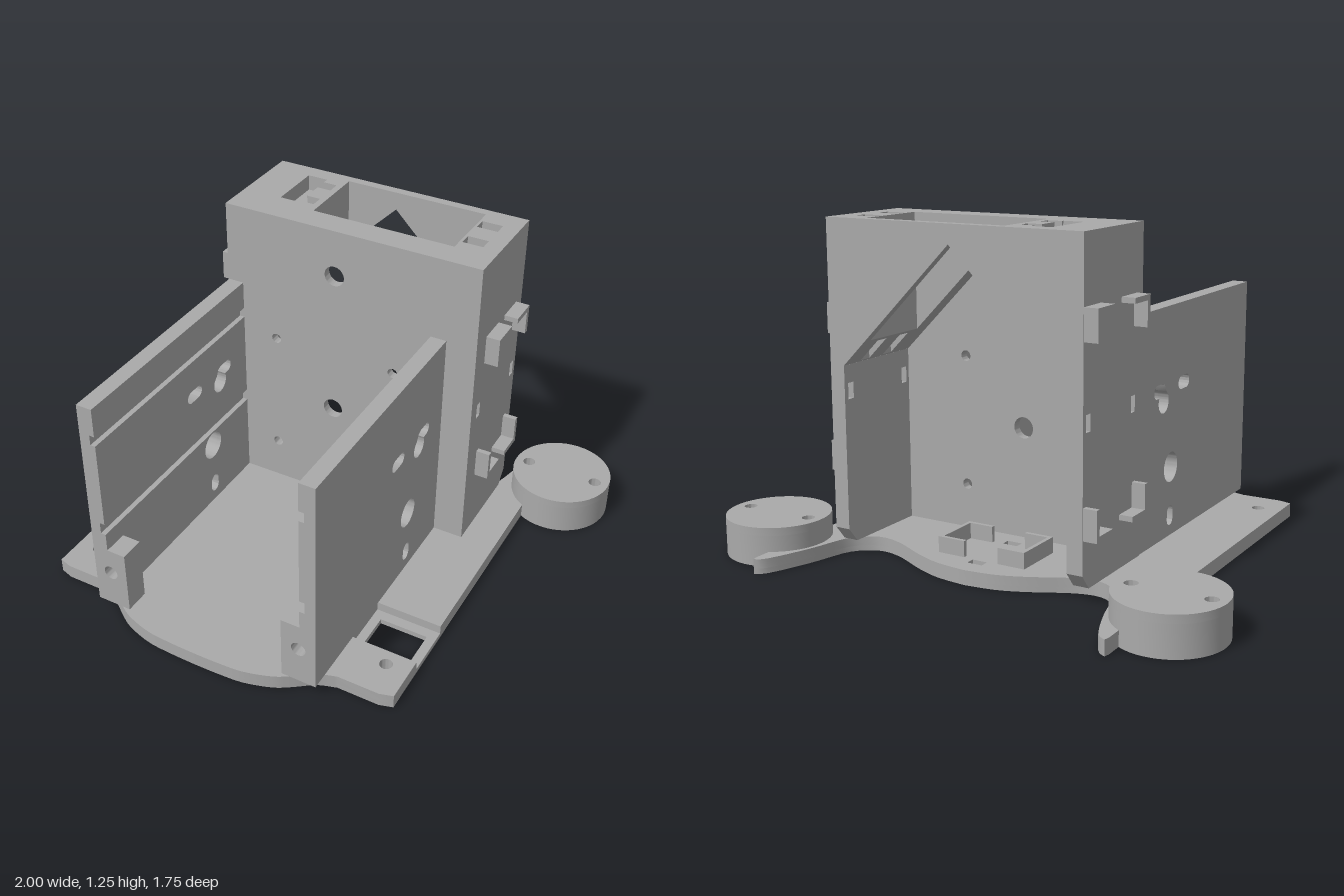
import * as THREE from 'three';
import { toCreasedNormals } from 'three/addons/utils/BufferGeometryUtils.js';

const V = (x, y) => new THREE.Vector2(x, y);

// Closed outlines and holes
const poly = (pts, holes = []) => {
  const s = new THREE.Shape(pts.map(p => V(p[0], p[1])));
  s.holes.push(...holes);
  return s;
};
const rect = (x0, y0, x1, y1, holes = []) => poly([[x0, y0], [x1, y0], [x1, y1], [x0, y1]], holes);
const disc = (x, y, r, holes = []) => {
  const s = new THREE.Shape();
  s.absarc(x, y, r, 0, Math.PI * 2, false);
  s.holes.push(...holes);
  return s;
};
const slot = (x0, y0, x1, y1) => {
  const r = Math.min(x1 - x0, y1 - y0) / 2;
  const s = new THREE.Shape();
  s.absarc(x1 - r, y0 + r, r, -Math.PI / 2, 0, false);
  s.absarc(x1 - r, y1 - r, r, 0, Math.PI / 2, false);
  s.absarc(x0 + r, y1 - r, r, Math.PI / 2, Math.PI, false);
  s.absarc(x0 + r, y0 + r, r, Math.PI, Math.PI * 1.5, false);
  return s;
};
const keyhole = () => {
  const s = new THREE.Shape();
  s.moveTo(-0.02, 0.6);
  s.absarc(0.035, 0.58, 0.042, 2.65, 7.33, false);
  s.lineTo(0.043, 0.643);
  s.lineTo(0.025, 0.65);
  s.absarc(-0.02, 0.625, 0.025, Math.PI / 2, Math.PI * 1.5, false);
  return s;
};

export function createModel() {
  const model = new THREE.Group();
  const grey = new THREE.MeshStandardMaterial({ color: 0xaaaaaa });
  grey.name = 'plainGrey';

  const add = (name, geo) => {
    const m = new THREE.Mesh(geo, grey);
    m.name = name;
    model.add(m);
  };
  const raw = (shape, depth) => toCreasedNormals(
    new THREE.ExtrudeGeometry(shape, { depth, bevelEnabled: false, curveSegments: 24 }), 0.5);
  // Shape axes: (z, y) along x, (x, z) along y, (x, y) along z
  const alongX = (name, s, x0, x1) => add(name, raw(s, x1 - x0).rotateY(-Math.PI / 2).translate(x1, 0, 0));
  const alongY = (name, s, y0, y1) => add(name, raw(s, y1 - y0).rotateX(Math.PI / 2).translate(0, y1, 0));
  const alongZ = (name, s, z0, z1) => add(name, raw(s, z1 - z0).translate(0, 0, z0));
  const box = (name, x0, x1, y0, y1, z0, z1) => {
    const g = new THREE.BoxGeometry(x1 - x0, y1 - y0, z1 - z0);
    add(name, g.translate((x0 + x1) / 2, (y0 + y1) / 2, (z0 + z1) / 2));
  };

  // Base plate: wavy back edge with two swept arms, bulged front edge
  const T = 0.055;
  const spline = pts => new THREE.SplineCurve(pts.map(p => V(p[0], p[1]))).getPoints(28).map(p => [p.x, p.y]);
  const back = spline([[0, -0.595], [0.12, -0.58], [0.23, -0.54], [0.36, -0.475], [0.45, -0.455],
    [0.515, -0.48], [0.565, -0.54], [0.605, -0.69], [0.665, -0.845], [0.705, -0.88]]);
  const front = spline([[0.5, 0.725], [0.43, 0.75], [0.36, 0.8], [0.3, 0.835], [0.2, 0.865], [0.1, 0.873], [0, 0.875]]);
  const corner = [[0.71, 0.71], [0.66, 0.725]];
  const notch = [[0.71, 0.33], [0.455, 0.33], [0.455, 0.53], [0.71, 0.53]];
  const outline = cut => {
    const head = [...back, [0.71, -0.86]];
    const tail = [...corner, ...front];
    const mirrored = [...head, ...tail].slice(1, -1).reverse().map(p => [-p[0], p[1]]);
    return [...head, ...cut, ...tail, ...mirrored];
  };
  const screwHoles = () => [-1, 1].map(s => disc(s * 0.62, 0.59, 0.024));
  alongY('basePlateLower', poly(outline([]),
    [...screwHoles(), rect(0.49, 0.37, 0.675, 0.5), rect(-0.03, -0.525, 0.03, -0.255)]), 0, 0.02);
  alongY('basePlateUpper', poly(outline(notch),
    [...screwHoles(), rect(-0.03, -0.525, 0.03, -0.49), rect(-0.03, -0.29, 0.03, -0.255)]), 0.02, T);

  for (const s of [-1, 1]) {
    // Caster housings: hollow below, two screw holes through
    const cx = s * 0.805, cz = -0.625;
    const pins = () => [-1, 1].map(k => disc(cx + k * 0.14, cz, 0.024));
    alongY('casterRing', disc(cx, cz, 0.195, [...pins(), disc(cx, cz, 0.11)]), 0, 0.115);
    alongY('casterCap', disc(cx, cz, 0.195, pins()), 0.115, 0.145);

    // Side walls: outer sheet plus inner strips that leave two grooves
    const span = (name, a, b, shape) => alongX(name, shape, Math.min(s * a, s * b), Math.max(s * a, s * b));
    const lowHoles = () => [disc(0.105, 0.32, 0.057), slot(0.08, 0.095, 0.13, 0.17)];
    const midHoles = () => [slot(0.16, 0.6, 0.255, 0.65), keyhole()];
    const stepped = (top, holes) => poly([[-0.155, T], [0.71, T], [0.71, 0.31], [0.805, 0.31],
      [0.805, top], [-0.155, top]], holes);
    span('sideWall', 0.415, 0.457, stepped(0.928, [...lowHoles(), ...midHoles()]));
    span('wallLowerStrip', 0.395, 0.415, stepped(0.383, lowHoles()));
    span('wallMiddleStrip', 0.395, 0.415, rect(-0.155, 0.43, 0.805, 0.775, midHoles()));
    span('wallUpperStrip', 0.395, 0.415, rect(-0.155, 0.815, 0.805, 0.928));

    // Front corner block with a blind screw hole
    const a = Math.min(s * 0.322, s * 0.457), b = Math.max(s * 0.322, s * 0.457);
    alongZ('cornerBlock', rect(a, T, b, 0.31, [disc(s * 0.39, 0.205, 0.028)]), 0.73, 0.805);
    alongZ('cornerBlockBack', rect(a, T, b, 0.31), 0.71, 0.73);

    // Low sensor bracket on the floor inside the tower
    const u = [[0.07, -0.485], [0.18, -0.485], [0.18, -0.285], [0.07, -0.285],
      [0.07, -0.3], [0.165, -0.3], [0.165, -0.47], [0.07, -0.47]];
    alongY('floorBracket', poly(u.map(p => [s * p[0], p[1]])), T, 0.115);
  }

  // Tower front wall
  const L = -0.46, R = 0.575, TOP = 1.25, MID = 0.0575, EAVE = 0.722;
  const frontHoles = [disc(0, 1.065, 0.04), disc(0, 0.475, 0.04)];
  for (const x of [-0.25, 0.25]) for (const y of [0.225, 0.72]) frontHoles.push(disc(x, y, 0.02));
  alongZ('towerFront', rect(L, T, R, TOP, frontHoles), -0.19, -0.155);

  // Tower side walls with small windows, chamfered where they overhang the plate
  for (const [x0, x1] of [[L, -0.4], [0.515, R]]) {
    alongX('towerSide', poly([[-0.53, T], [-0.19, T], [-0.19, EAVE], [-0.575, EAVE], [-0.575, 0.11]],
      [rect(-0.235, 0.595, -0.205, 0.655), rect(-0.555, 0.595, -0.525, 0.655)]), x0, x1);
  }

  // Tower head: gabled underside, built in z bands around the vertical openings
  const roof = x => Math.max(EAVE, 1.18 - Math.abs(x - MID));
  const zs = [-0.575, -0.54, -0.51, -0.485, -0.435, -0.355, -0.305, -0.295, -0.26, -0.19];
  for (let i = 0; i < zs.length - 1; i++) {
    const zm = (zs[i] + zs[i + 1]) / 2;
    const inside = (a, b) => zm > a && zm < b;
    const slots = inside(-0.485, -0.435) || inside(-0.355, -0.305);
    const pieces = [];
    const recess = inside(-0.51, -0.295) ? 1.19 : TOP;
    pieces.push([L, -0.305, TOP], [-0.305, slots ? -0.245 : -0.225, recess]);
    if (slots) pieces.push([-0.17, -0.145, TOP]);
    else pieces.push([-0.225, -0.145, TOP]);
    if (!inside(-0.54, -0.26)) pieces.push([-0.145, 0.42, TOP]);
    if (slots) pieces.push([0.42, 0.43, TOP], [0.51, R, TOP]);
    else pieces.push([0.42, R, TOP]);
    for (const [a, b, top] of pieces) {
      const bends = [-0.4005, MID, 0.5155].filter(x => x > a && x < b);
      const under = [a, ...bends, b].map(x => [x, roof(x)]);
      alongZ('towerHead', poly([...under, [b, top], [a, top]]), zs[i], zs[i + 1]);
    }
  }

  // L-shaped corner holders on both tower sides
  const holders = (name, x0, x1, y0, y1, z0, z1) => {
    for (const top of [0, 1]) for (const near of [0, 1]) {
      const y = top ? y1 : y0, z = near ? z1 : z0;
      const dy = top ? -1 : 1, dz = near ? -1 : 1;
      const t = 0.02, len = 0.113;
      box(name, x0, x1, Math.min(y, y + dy * len), Math.max(y, y + dy * len), Math.min(z, z + dz * t), Math.max(z, z + dz * t));
      const za = z + dz * t, zb = z + dz * len;
      box(name, x0, x1, Math.min(y, y + dy * t), Math.max(y, y + dy * t), Math.min(za, zb), Math.max(za, zb));
    }
  };
  holders('leftHolder', R, 0.628, 0.308, 0.935, -0.522, -0.24);
  holders('rightHolder', -0.512, L, 0.232, 1.01, -0.573, -0.2);

  return model;
}
